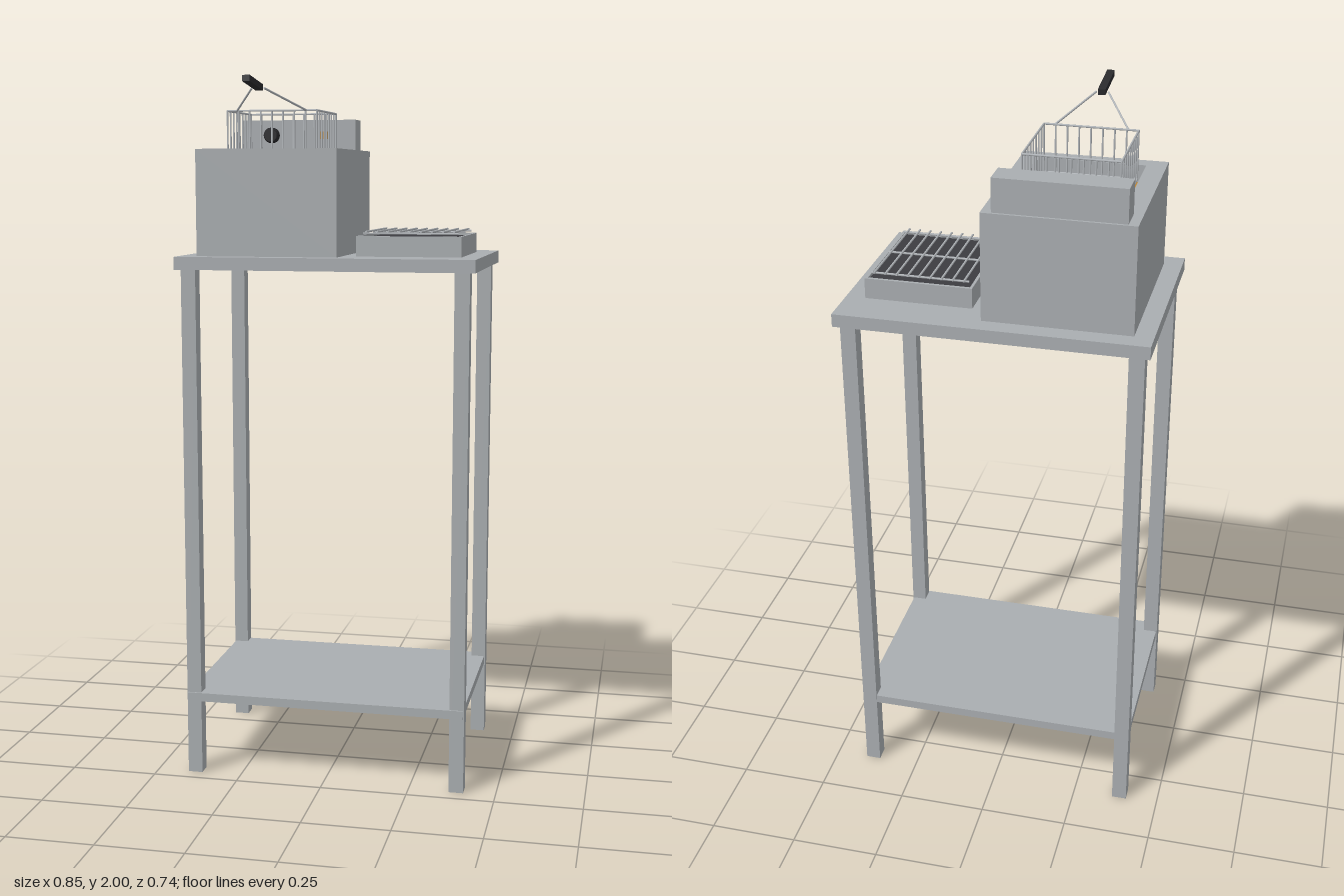
import * as THREE from 'three';

const mat = (name, color) => Object.assign(new THREE.MeshStandardMaterial({ color }), { name });

export function createModel() {
  const steel = mat('brushed steel', 0xa9adb0);
  const wire = mat('wire', 0xb4b8bc);
  const dark = mat('dark tray', 0x3c3c41);
  const black = mat('black plastic', 0x2a2a2d);
  const oil = mat('frying oil', 0xc0842b);
  const amber = mat('indicator amber', 0xd08a20);

  const model = new THREE.Group();
  model.name = 'fryerStation';
  const group = (name) => {
    const g = new THREE.Group();
    g.name = name;
    model.add(g);
    return g;
  };
  const add = (parent, name, geometry, material) => {
    const m = new THREE.Mesh(geometry, material);
    m.name = name;
    parent.add(m);
    return m;
  };
  // Box given by its limits on each axis
  const box = (parent, name, material, [x0, x1], [y0, y1], [z0, z1]) => {
    const m = add(parent, name, new THREE.BoxGeometry(x1 - x0, y1 - y0, z1 - z0), material);
    m.position.set((x0 + x1) / 2, (y0 + y1) / 2, (z0 + z1) / 2);
    return m;
  };
  // Straight wire between two points
  const rod = (parent, name, a, b, r = 0.0026) => {
    const p = new THREE.Vector3(...a), q = new THREE.Vector3(...b);
    const d = q.clone().sub(p);
    const m = add(parent, name, new THREE.CylinderGeometry(r, r, d.length(), 6), wire);
    m.position.copy(p).add(q).multiplyScalar(0.5);
    m.quaternion.setFromUnitVectors(new THREE.Vector3(0, 1, 0), d.normalize());
  };
  // Block with a rectangular opening, extruded upwards
  const frame = (parent, name, [x0, x1], [y0, y1], [z0, z1], [hx0, hx1], [hz0, hz1]) => {
    const rect = (path, a, b, c, d) =>
      path.moveTo(a, -d).lineTo(b, -d).lineTo(b, -c).lineTo(a, -c).closePath();
    const shape = new THREE.Shape();
    rect(shape, x0, x1, z0, z1);
    const hole = new THREE.Path();
    rect(hole, hx0, hx1, hz0, hz1);
    shape.holes.push(hole);
    const g = new THREE.ExtrudeGeometry(shape, { depth: y1 - y0, bevelEnabled: false });
    g.rotateX(-Math.PI / 2).translate(0, y0, 0);
    return add(parent, name, g, steel);
  };
  const steps = (a, b, n) => Array.from({ length: n }, (_, i) => a + ((b - a) * i) / (n - 1));

  // Table
  const table = group('table');
  box(table, 'tableTop', steel, [-0.424, 0.424], [1.48, 1.516], [-0.37, 0.222]);
  box(table, 'shelf', steel, [-0.405, 0.405], [0.22, 0.245], [-0.352, 0.212]);
  for (const x of [-0.387, 0.387])
    for (const z of [-0.333, 0.186])
      box(table, 'leg', steel, [x - 0.021, x + 0.021], [0, 1.48], [z - 0.021, z + 0.021]);

  // Fryer body with its oil well
  const fryer = group('fryer');
  const wellX = [-0.317, -0.02], wellZ = [-0.195, 0.128];
  frame(fryer, 'fryerBody', [-0.372, 0.032], [1.516, 1.814], [-0.317, 0.17], wellX, wellZ);
  box(fryer, 'oil', oil, wellX, [1.52, 1.765], wellZ);

  // Control box, knob and indicator
  box(fryer, 'controlBox', steel, [-0.346, 0.004], [1.814, 1.906], [-0.31, -0.235]);
  const knob = add(fryer, 'knob', new THREE.LatheGeometry(
    [[0.023, 0], [0.023, 0.018], [0.019, 0.025], [0, 0.025]].map((p) => new THREE.Vector2(...p)), 20), black);
  knob.geometry = knob.geometry.toNonIndexed();
  knob.geometry.computeVertexNormals();
  knob.rotation.x = Math.PI / 2;
  knob.position.set(-0.252, 1.861, -0.235);
  box(fryer, 'indicator', amber, [-0.103, -0.081], [1.85, 1.872], [-0.236, -0.228]);

  // Wire basket
  const basket = group('basket');
  const [bx0, bx1, bz0, bz1, low, rim] = [-0.298, -0.04, -0.16, 0.096, 1.785, 1.92];
  for (const y of [low, rim]) {
    for (const z of [bz0, bz1]) rod(basket, 'hoopWire', [bx0, y, z], [bx1, y, z], 0.003);
    for (const x of [bx0, bx1]) rod(basket, 'hoopWire', [x, y, bz0], [x, y, bz1], 0.003);
  }
  for (const x of steps(bx0, bx1, 9)) {
    rod(basket, 'floorWire', [x, low, bz0], [x, low, bz1]);
    for (const z of [bz0, bz1]) rod(basket, 'sideWire', [x, low, z], [x, rim, z]);
  }
  for (const z of steps(bz0, bz1, 9).slice(1, -1))
    for (const x of [bx0, bx1]) rod(basket, 'sideWire', [x, low, z], [x, rim, z]);

  // Basket handle
  for (const s of [-1, 1])
    rod(basket, 'handleWire', [-0.17 + s * 0.1, rim, bz1], [-0.17 + s * 0.017, 1.973, 0.243], 0.003);
  const grip = add(basket, 'grip', new THREE.BoxGeometry(0.021, 0.016, 0.138), black);
  grip.position.set(-0.17, 1.984, 0.298);
  grip.rotation.x = -0.12;

  // Draining tray and rack
  const tray = group('drainTray');
  const trayX = [0.081, 0.362], trayZ = [-0.241, 0.093];
  frame(tray, 'trayWalls', [0.073, 0.37], [1.516, 1.573], [-0.25, 0.101], trayX, trayZ);
  box(tray, 'trayFloor', dark, trayX, [1.52, 1.566], trayZ);
  for (const x of steps(0.099, 0.347, 9))
    rod(tray, 'rackWire', [x, 1.585, -0.236], [x, 1.585, 0.088], 0.003);
  for (const z of [-0.222, -0.075, 0.075])
    rod(tray, 'rackCrossWire', [0.088, 1.58, z], [0.358, 1.58, z], 0.003);

  return model;
}
